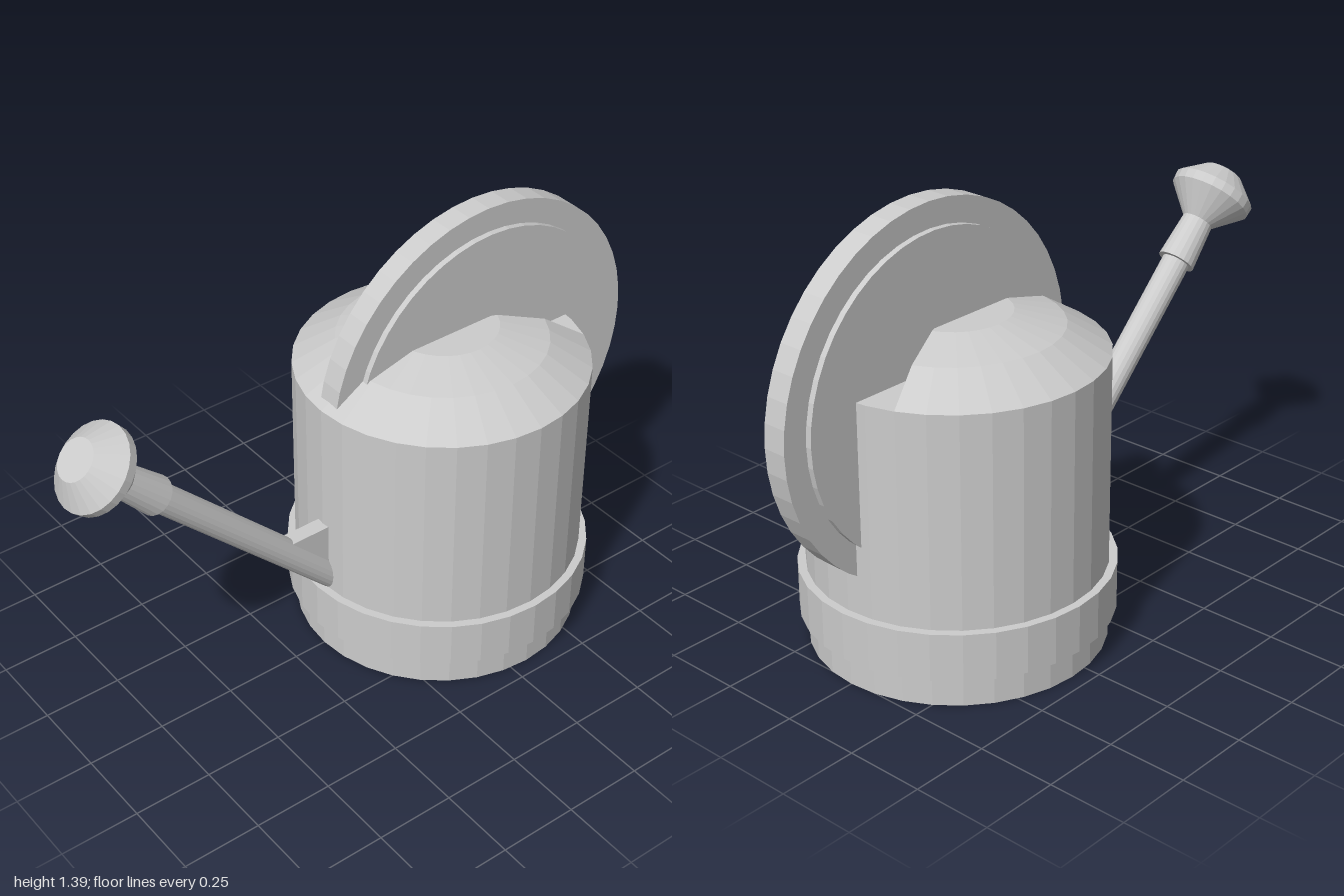
import * as THREE from 'three';

const material = new THREE.MeshStandardMaterial({ color: 0xcccccc, flatShading: true });
const doubleSided = new THREE.MeshStandardMaterial({ color: 0xcccccc, flatShading: true, side: THREE.DoubleSide });
const BODY_Z = -0.31;

function part(parent, name, geometry, mat = material) {
  const mesh = new THREE.Mesh(geometry, mat);
  mesh.name = name;
  parent.add(mesh);
  return mesh;
}

const profile = (points) => points.map(([r, y]) => new THREE.Vector2(r, y));

export function createModel() {
  const model = new THREE.Group();
  model.name = 'wateringCan';

  // Tank with a wide band near the base
  const tank = new THREE.Group();
  tank.name = 'tank';
  tank.position.z = BODY_Z;
  model.add(tank);
  part(tank, 'tankBody', new THREE.CylinderGeometry(0.45, 0.45, 0.905, 32)).position.y = 0.4525;
  part(tank, 'tankBand', new THREE.CylinderGeometry(0.475, 0.475, 0.15, 32)).position.y = 0.17;

  // Stepped dome, left open in a wedge at the back
  const gap = Math.PI / 8;
  const dome = [[0.45, 0.905], [0.32, 0.985], [0.17, 1.025], [0, 1.025]];
  part(tank, 'domeLid',
    new THREE.LatheGeometry(profile(dome), 28, Math.PI + gap, 2 * (Math.PI - gap)), doubleSided);
  const wallShape = new THREE.Shape(profile([...dome, [0, 0.905]]));
  for (const side of [-1, 1]) {
    const wall = part(tank, 'lidOpeningWall', new THREE.ShapeGeometry(wallShape), doubleSided);
    wall.rotation.y = Math.PI / 2 + side * gap;
  }

  // Round handle: a disc with a thicker, smaller disc through it
  const handle = new THREE.Group();
  handle.name = 'handle';
  handle.position.set(0, 0.828, -0.44);
  handle.rotation.z = Math.PI / 2;
  model.add(handle);
  part(handle, 'handleRim', new THREE.CylinderGeometry(0.56, 0.56, 0.076, 48));
  part(handle, 'handlePanel', new THREE.CylinderGeometry(0.482, 0.482, 0.114, 48));

  // Spout assembly, running along its own y axis at 45 degrees
  const spout = new THREE.Group();
  spout.name = 'spout';
  spout.position.set(0, 0.163, 0);
  spout.rotation.x = Math.PI / 4;
  model.add(spout);
  part(spout, 'spoutTube', new THREE.CylinderGeometry(0.045, 0.045, 0.96, 20)).position.y = 0.58;
  part(spout, 'spoutCollar', new THREE.CylinderGeometry(0.048, 0.06, 0.18, 20)).position.y = 1.095;
  part(spout, 'sprinklerHead', new THREE.LatheGeometry(profile([
    [0, 1.15], [0.045, 1.15], [0.132, 1.242], [0.134, 1.272], [0.064, 1.338], [0, 1.338],
  ]), 24));

  // Triangular brace between tank and spout
  const brace = new THREE.Shape(profile([[0.08, 0.485], [0.08, 0.26], [0.3, 0.485]]));
  const bracePart = part(model, 'spoutBrace',
    new THREE.ExtrudeGeometry(brace, { depth: 0.05, bevelEnabled: false }));
  bracePart.rotation.y = -Math.PI / 2;
  bracePart.position.x = 0.025;

  return model;
}
